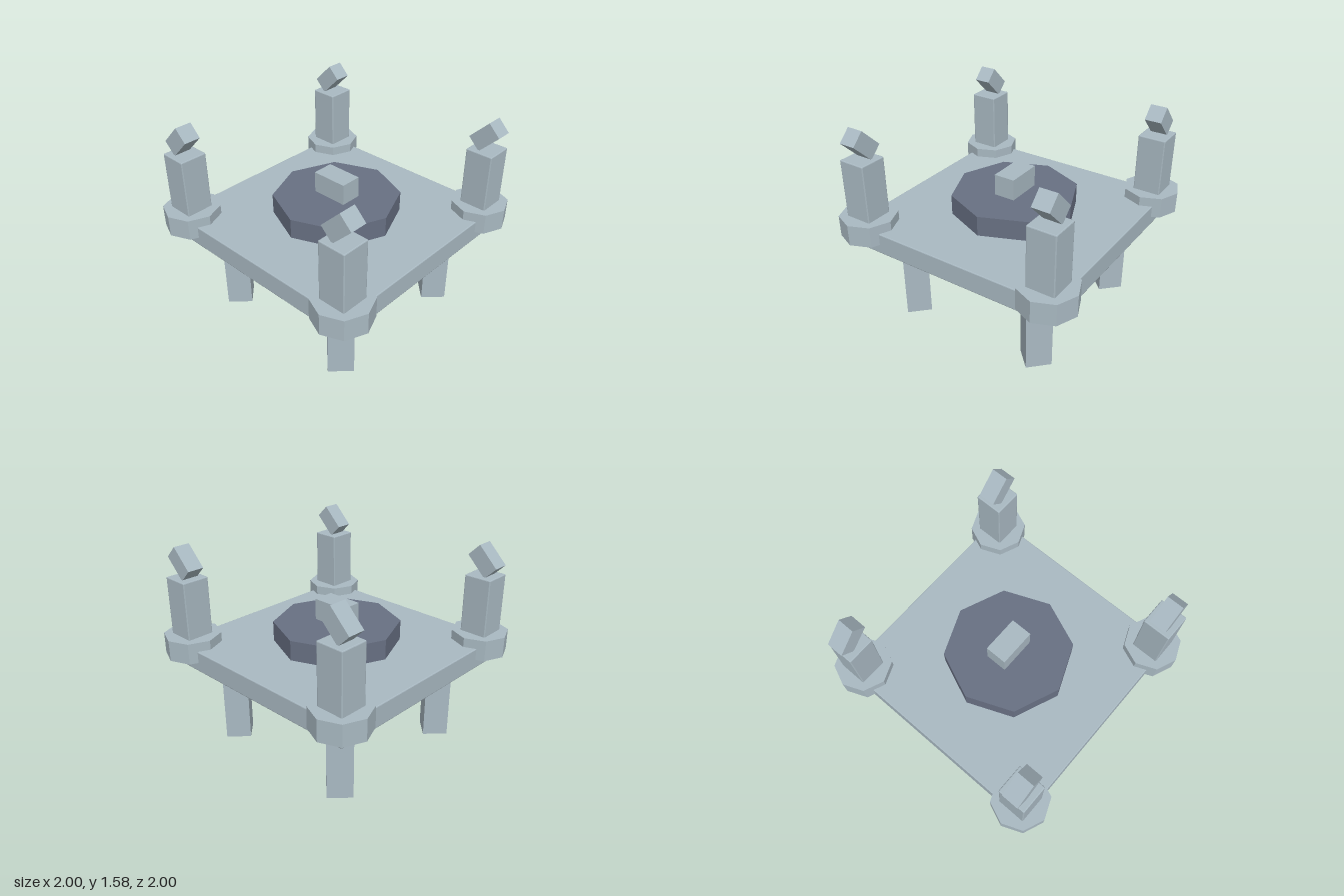
import * as THREE from 'three';
import { RoundedBoxGeometry } from 'three/addons/geometries/RoundedBoxGeometry.js';

export function createModel() {
  const model = new THREE.Group();
  model.name = 'towerPlatform';

  const paleSteel = new THREE.MeshStandardMaterial({ color: 0xa9b9c2, flatShading: true });
  paleSteel.name = 'pale steel';
  const slate = new THREE.MeshStandardMaterial({ color: 0x687083, flatShading: true });
  slate.name = 'slate';

  const add = (parent, name, geometry, material, x, y, z) => {
    const mesh = new THREE.Mesh(geometry, material);
    mesh.name = name;
    mesh.position.set(x, y, z);
    parent.add(mesh);
    return mesh;
  };
  // Upright prism with its corners on the x and z axes
  const prism = (radius, height, sides) => new THREE.CylinderGeometry(radius, radius, height, sides);

  // Square deck with slightly bevelled edges
  add(model, 'deck', new RoundedBoxGeometry(1.75, 0.165, 1.75, 1, 0.007), paleSteel, 0, 0.735, 0);

  // Octagonal hub through the deck, its cap block and the core hanging below
  add(model, 'hub', prism(0.487, 0.435, 8), slate, 0, 0.757, 0);
  add(model, 'hubCap', new THREE.BoxGeometry(0.29, 0.18, 0.168), paleSteel, 0, 1.05, 0);
  add(model, 'core', prism(0.244, 0.435, 8), paleSteel, 0, 0.297, 0);

  // Four towers and four legs, all turned the same way
  const baseGeometry = prism(0.218, 0.165, 8);
  const postGeometry = new RoundedBoxGeometry(0.216, 0.47, 0.216, 1, 0.007);
  const headGeometry = new THREE.BoxGeometry(0.216, 0.13, 0.13);
  const legGeometry = prism(0.136, 0.488, 4);
  for (const sx of [-1, 1]) {
    for (const sz of [-1, 1]) {
      const tower = new THREE.Group();
      tower.name = 'tower';
      tower.position.set(sx * 0.782, 0, sz * 0.782);
      add(tower, 'towerBase', baseGeometry, paleSteel, 0, 0.808, 0);
      add(tower, 'towerPost', postGeometry, paleSteel, 0, 1.108, 0);
      add(tower, 'towerHead', headGeometry, paleSteel, 0, 1.456, 0).rotation.z = Math.PI / 4;
      model.add(tower);

      add(model, 'leg', legGeometry, paleSteel, sx * 0.563, 0.244, sz * 0.563);
    }
  }
  return model;
}
